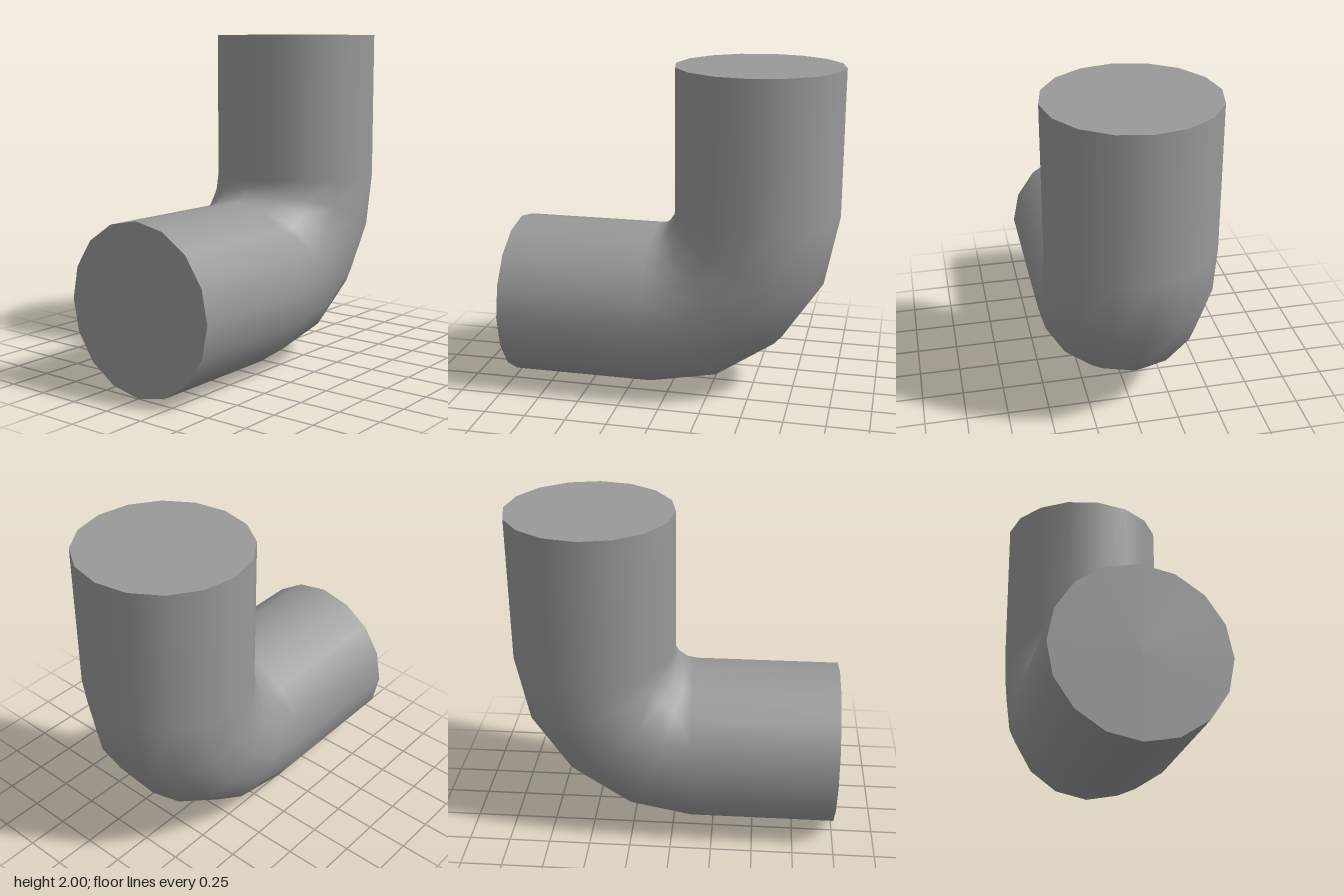
import * as THREE from 'three';

const R = 0.5;        // pipe radius
const SIDES = 16;
const BEND = 0.62;    // centreline radius of the bend
const PIVOT = 0.12;   // bend pivot: z = PIVOT, y = 1 + PIVOT
const STEPS = 4;

// Pipe wall: rings swept along straight, quarter bend, straight
function pipeWall() {
  const rings = [{ t: 0, dz: 1 - PIVOT, dy: 0 }];
  for (let i = 0; i <= STEPS; i++) rings.push({ t: (i / STEPS) * Math.PI / 2, dz: 0, dy: 0 });
  rings.push({ t: Math.PI / 2, dz: 0, dy: 1 - PIVOT });

  const pos = [], nor = [], idx = [];
  for (const { t, dz, dy } of rings) {
    const ey = -Math.cos(t), ez = -Math.sin(t); // direction away from the pivot
    for (let j = 0; j <= SIDES; j++) {
      const a = (j / SIDES) * Math.PI * 2;
      const c = Math.cos(a), s = Math.sin(a);
      const d = BEND + R * c;
      pos.push(R * s, 1 + PIVOT + dy + d * ey, PIVOT + dz + d * ez);
      nor.push(s, c * ey, c * ez);
    }
  }
  const row = SIDES + 1;
  for (let i = 0; i < rings.length - 1; i++) {
    for (let j = 0; j < SIDES; j++) {
      const p = i * row + j, q = p + row;
      idx.push(p, q, p + 1, q, q + 1, p + 1);
    }
  }
  const g = new THREE.BufferGeometry();
  g.setAttribute('position', new THREE.Float32BufferAttribute(pos, 3));
  g.setAttribute('normal', new THREE.Float32BufferAttribute(nor, 3));
  g.setIndex(idx);
  return g;
}

export function createModel() {
  const group = new THREE.Group();
  group.name = 'pipeElbow';
  const material = new THREE.MeshStandardMaterial({ color: 0x999999 });
  const add = (name, geometry) => {
    const mesh = new THREE.Mesh(geometry, material);
    mesh.name = name;
    group.add(mesh);
    return mesh;
  };

  add('pipeWall', pipeWall());

  // Flat end caps
  add('frontCap', new THREE.CircleGeometry(R, SIDES)).position.set(0, 0.5, 1);
  add('topCap', new THREE.CircleGeometry(R, SIDES).rotateX(-Math.PI / 2)).position.set(0, 2, -0.5);

  return group;
}
